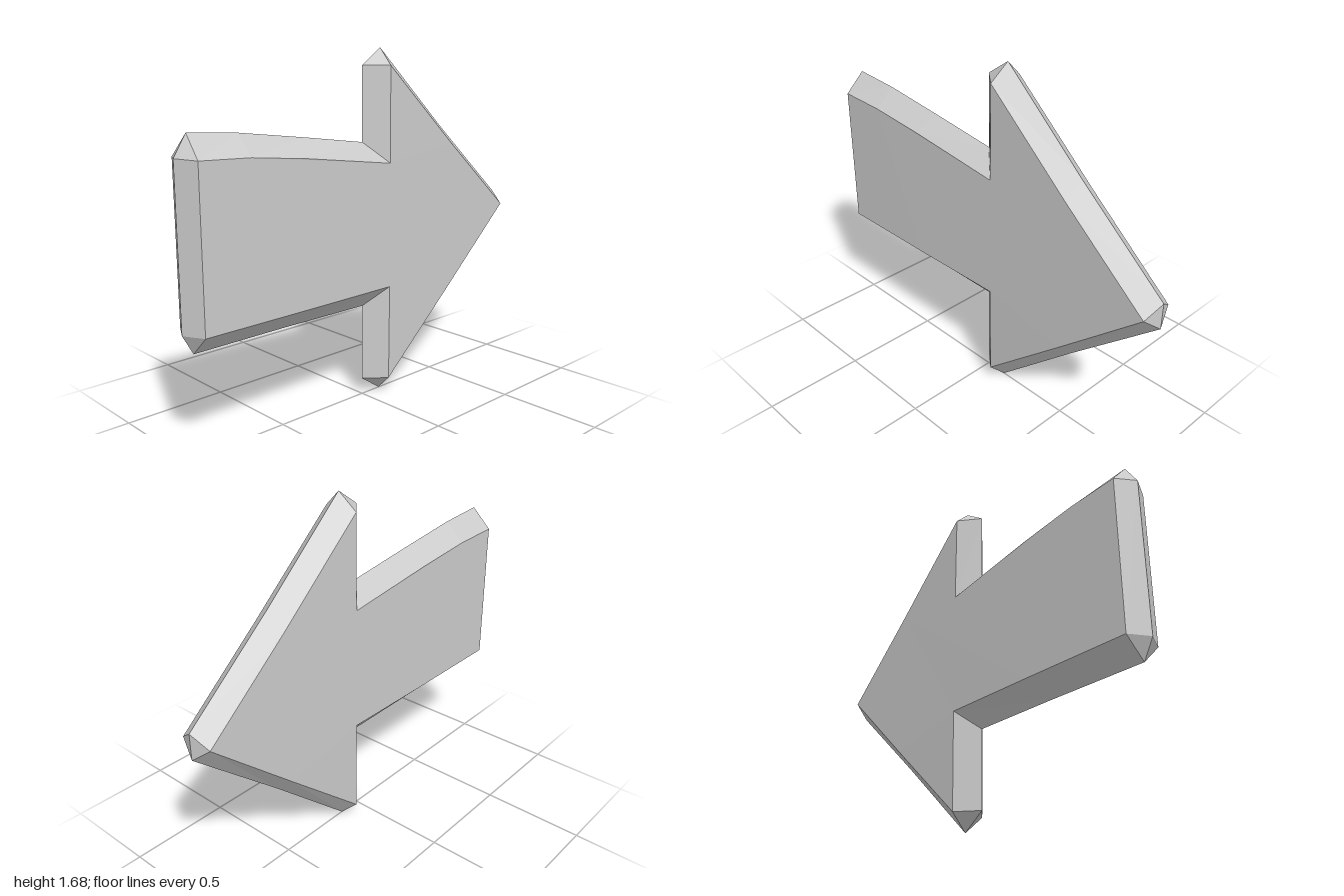
import * as THREE from 'three';

// Corners counter-clockwise: rim x, rim y (at z = 0), face x, face y, face half-depth
const CORNERS = [
  [-1.0, 0.55, -0.95, 0.55, 0.094],
  [-0.95, 0.46, -0.95, 0.55, 0.094],
  [-0.45, 0.46, -0.4, 0.55, 0.093],
  [0.0, 0.455, 0.1, 0.55, 0.088],
  [0.0, 0.08, 0.1, 0.08, 0.085],
  [0.115, 0.0, 0.1, 0.08, 0.085],
  [0.55, 0.39, 0.54, 0.465, 0.085],
  [1.0, 0.78, 0.97, 0.845, 0.083],
  [1.0, 0.905, 0.97, 0.845, 0.083],
  [0.55, 1.288, 0.54, 1.21, 0.085],
  [0.115, 1.68, 0.1, 1.6, 0.085],
  [0.0, 1.6, 0.1, 1.6, 0.085],
  [0.0, 1.25, 0.1, 1.15, 0.088],
  [-0.35, 1.298, -0.4, 1.218, 0.093],
  [-0.7, 1.343, -0.7, 1.25, 0.094],
  [-0.94, 1.36, -0.95, 1.26, 0.094],
  [-1.0, 1.265, -0.95, 1.26, 0.094],
];

function bevelledPlate(corners) {
  const pos = [];
  const tri = (a, b, c) => {
    if (a.equals(b) || b.equals(c) || c.equals(a)) return;
    // front triangle and its mirror image on the back
    for (const p of [a, b, c]) pos.push(p.x, p.y, p.z);
    for (const p of [a, c, b]) pos.push(p.x, p.y, -p.z);
  };
  const rim = corners.map(([x, y]) => new THREE.Vector3(x, y, 0));
  const face = corners.map(([, , x, y, z]) => new THREE.Vector3(x, y, z));

  // sloping bevel between the rim and the face
  rim.forEach((a, i) => {
    const j = (i + 1) % rim.length;
    tri(a, rim[j], face[j]);
    tri(a, face[j], face[i]);
  });

  // flat face, without the repeated corners
  const outline = face.filter((p, i) => !p.equals(face[(i + 1) % face.length]));
  const flat = outline.map((p) => new THREE.Vector2(p.x, p.y));
  for (const [a, b, c] of THREE.ShapeUtils.triangulateShape(flat, [])) {
    tri(outline[a], outline[b], outline[c]);
  }

  const geometry = new THREE.BufferGeometry();
  geometry.setAttribute('position', new THREE.Float32BufferAttribute(pos, 3));
  geometry.computeVertexNormals();
  return geometry;
}

export function createModel() {
  const group = new THREE.Group();
  group.name = 'arrowSign';
  const material = new THREE.MeshStandardMaterial({ color: 0xcccccc, flatShading: true });
  const arrow = new THREE.Mesh(bevelledPlate(CORNERS), material);
  arrow.name = 'arrowBoard';
  group.add(arrow);
  return group;
}
